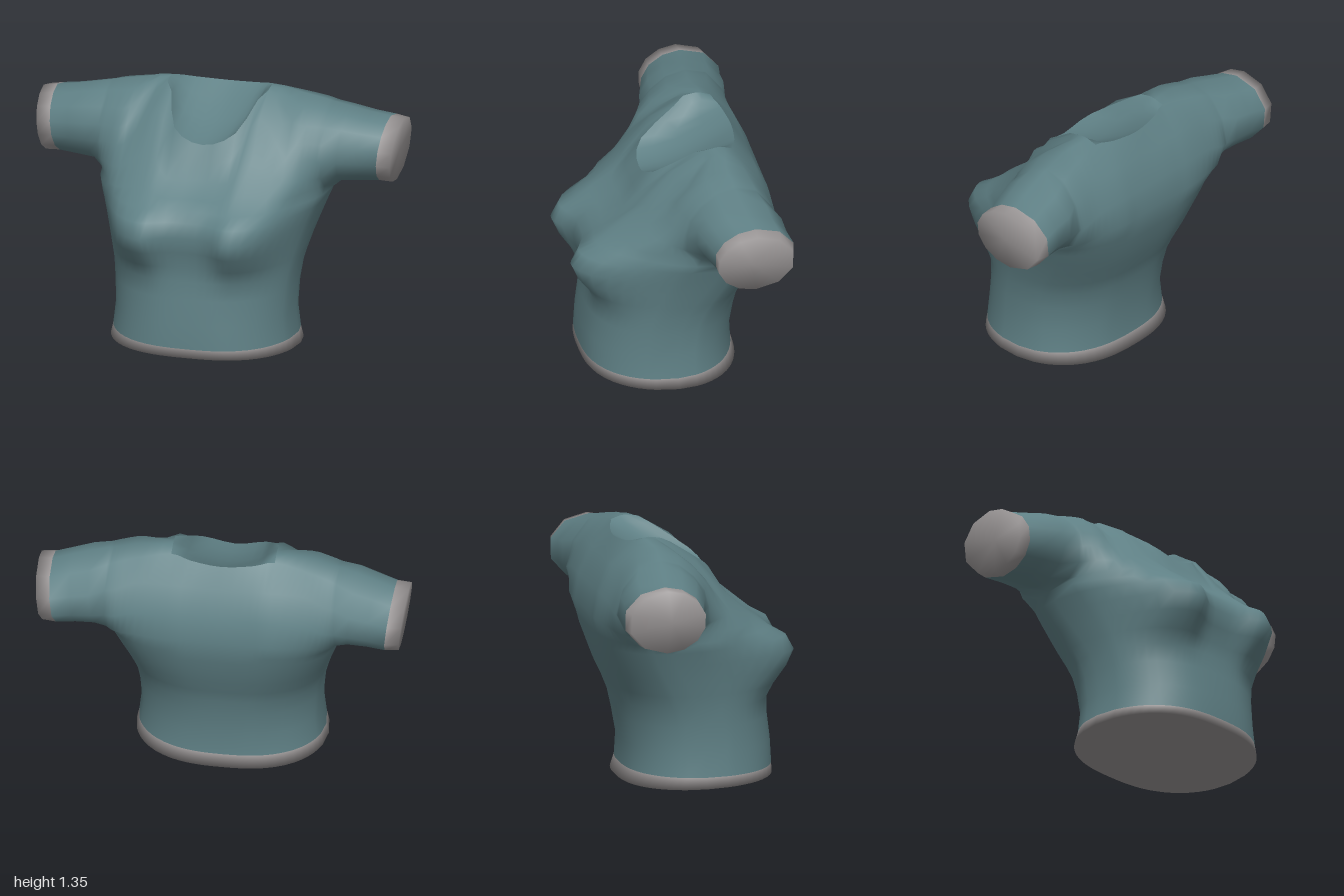
import * as THREE from 'three';

const teal = new THREE.MeshStandardMaterial({ color: 0x5f8085 });
teal.name = 'teal cloth';
const grey = new THREE.MeshStandardMaterial({ color: 0x9a9696 });
grey.name = 'grey trim';

// Torso rings from hem to armpit: y, half width, seam z, front z, back z, bust swell, front and back squareness
const RINGS = [
  [0.01, 0.518, 0.02, 0.46, -0.37, 0, 2.7, 2.6],
  [0.07, 0.505, 0.02, 0.46, -0.35, 0, 2.6, 2.5],
  [0.2, 0.49, 0.02, 0.455, -0.345, 0, 2.5, 2.4],
  [0.34, 0.498, 0.01, 0.437, -0.37, 0, 2.5, 2.4],
  [0.44, 0.51, -0.02, 0.43, -0.39, 0.01, 2.5, 2.5],
  [0.52, 0.53, -0.06, 0.43, -0.42, 0.06, 2.4, 2.6],
  [0.61, 0.555, -0.11, 0.45, -0.46, 0.115, 2.3, 2.8],
  [0.7, 0.585, -0.16, 0.47, -0.49, 0.14, 2.2, 3],
  [0.78, 0.615, -0.19, 0.45, -0.515, 0.11, 2.2, 3.3],
  [0.83, 0.635, -0.21, 0.4, -0.525, 0.06, 2.2, 3.5],
];

// Yoke sections at x: [z, y] points running up the front, over the top and down the back
const YOKE = [
  [0, [[.34, .88], [.23, .95], [.17, 1.05], [.125, 1.115], [.02, 1.13], [-.12, 1.17], [-.28, 1.25], [-.38, 1.31], [-.45, 1.2], [-.52, 1.06], [-.54, .92]]],
  [.17, [[.36, .88], [.24, .95], [.16, 1.06], [.075, 1.18], [0, 1.185], [-.12, 1.21], [-.25, 1.27], [-.36, 1.32], [-.45, 1.21], [-.52, 1.06], [-.54, .92]]],
  [.28, [[.3, .91], [.15, 1.05], [-.01, 1.245], [-.18, 1.345], [-.22, 1.352], [-.25, 1.355], [-.28, 1.35], [-.33, 1.333], [-.45, 1.21], [-.52, 1.06], [-.545, .92]]],
  [.45, [[.25, .88], [.16, .96], [.08, 1.06], [.02, 1.15], [-.05, 1.23], [-.14, 1.3], [-.25, 1.33], [-.35, 1.305], [-.44, 1.2], [-.51, 1.05], [-.52, .92]]],
  [.56, [[.06, .88], [.07, .95], [.03, 1.05], [0, 1.13], [-.06, 1.21], [-.15, 1.28], [-.26, 1.307], [-.37, 1.28], [-.46, 1.16], [-.51, 1.02], [-.48, .9]]],
  [.62, [[-.08, .87], [0, .94], [0, 1.03], [-.02, 1.12], [-.08, 1.2], [-.16, 1.265], [-.26, 1.293], [-.38, 1.26], [-.465, 1.15], [-.495, 1.01], [-.42, .89]]],
];

// Sleeve rings: x, centre y, radius y, centre z, radius z
const SLEEVE = [
  [0.7, 1.065, 0.205, -0.27, 0.24],
  [0.8, 1.055, 0.19, -0.285, 0.227],
  [0.905, 1.045, 0.177, -0.308, 0.22],
  [0.98, 1.04, 0.173, -0.3, 0.21],
];

// Point on a torso ring; side is +1 for front, -1 for back
function ringPoint(ring, u, side) {
  const [y, w, zc, zf, zb, bust, frontSquare, backSquare] = ring;
  const x = u * w;
  const arc = (p) => Math.sqrt(Math.max(0, 1 - Math.abs(u) ** p));
  let z = zc + (zb - zc) * arc(backSquare);
  if (side > 0) {
    z = zc + (zf - zc) * arc(frontSquare);
    if (Math.abs(u) < 0.999) z += bust * Math.exp(-((Math.abs(Math.abs(x) - 0.31) / 0.16) ** 3));
  }
  return new THREE.Vector3(x, y < 0.05 ? 0.009 + 0.024 * z : y, z);
}

// Smooth patch that welds coincident corners
function patch() {
  const pos = [], index = [], seen = new Map();
  const id = (p) => {
    const key = p.toArray().map((v) => Math.round(v * 1e4)).join();
    if (!seen.has(key)) {
      seen.set(key, pos.length / 3);
      pos.push(p.x, p.y, p.z);
    }
    return seen.get(key);
  };
  const tri = (a, b, c) => {
    const t = [id(a), id(b), id(c)];
    if (new Set(t).size === 3) index.push(...t);
  };
  return {
    quad(a, b, c, d) { tri(a, b, c); tri(a, c, d); },
    // Flat end across a loop of points
    close(loop, flip) {
      const mid = new THREE.Vector3();
      loop.forEach((v) => mid.addScaledVector(v, 1 / loop.length));
      loop.forEach((v, i) => {
        const n = loop[(i + 1) % loop.length];
        if (flip) tri(mid, n, v);
        else tri(mid, v, n);
      });
    },
    mesh(name, material) {
      const g = new THREE.BufferGeometry();
      g.setAttribute('position', new THREE.Float32BufferAttribute(pos, 3));
      g.setIndex(index);
      g.computeVertexNormals();
      const m = new THREE.Mesh(g, material);
      m.name = name;
      return m;
    },
  };
}

// Columns across the torso, each running hem front, over the shoulder, hem back
function torsoColumns(sub) {
  const keys = [...YOKE.slice(1).reverse().map(([x, s]) => [-x, s]), ...YOKE];
  const curves = YOKE[0][1].map((_, k) => new THREE.CatmullRomCurve3(
    keys.map(([x, s]) => new THREE.Vector3(x, s[k][1], s[k][0])), false, 'catmullrom', 0.5));
  const count = (keys.length - 1) * sub;
  const cols = [];
  for (let i = 0; i <= count; i++) {
    const over = curves.map((c) => c.getPoint(i / count));
    const u = THREE.MathUtils.clamp(over[0].x / 0.62, -1, 1);
    cols.push([
      ...RINGS.map((r) => ringPoint(r, u, 1)),
      ...over,
      ...[...RINGS].reverse().map((r) => ringPoint(r, u, -1)),
    ]);
  }
  return cols;
}

// Sleeve ring starting underneath, going round by the front
function sleeveLoop([x, cy, ry, cz, rz], side) {
  const loop = [];
  for (let k = 0; k <= 12; k++) {
    const a = k <= 7 ? (Math.PI * k) / 7 : Math.PI * (1 + (k - 7) / 5);
    loop.push(new THREE.Vector3(side * (x - 0.02 * Math.cos(a)), cy - ry * Math.cos(a), cz + rz * Math.sin(a)));
  }
  return loop;
}

export function createModel() {
  const group = new THREE.Group();
  const shirt = patch(), hem = patch(), neck = patch();
  const sub = 3;
  const cols = torsoColumns(sub);
  const rows = cols[0].length;
  const armpit = RINGS.length - 1;
  const middle = (cols.length - 1) / 2;

  // Torso, hem band and neck opening
  for (let c = 0; c < cols.length - 1; c++) {
    const inNeck = Math.abs(c + 0.5 - middle) < 2 * sub;
    for (let r = 0; r < rows - 1; r++) {
      const k = r - armpit;
      const target = r === 0 || r === rows - 2 ? hem : inNeck && k >= 4 && k < 8 ? neck : shirt;
      target.quad(cols[c][r], cols[c + 1][r], cols[c + 1][r + 1], cols[c][r + 1]);
    }
  }

  // Underside, shaded smoothly into the hem
  hem.close([...cols.map((c) => c[0]), ...cols.slice(1, -1).reverse().map((c) => c[rows - 1])], true);

  // Sleeves grow from the armholes and end in closed cuffs
  for (const side of [1, -1]) {
    const armhole = cols[side > 0 ? cols.length - 1 : 0].slice(armpit, armpit + 13);
    const loops = [armhole, ...SLEEVE.map((s) => sleeveLoop(s, side))];
    const cuff = patch();
    for (let i = 0; i < loops.length - 1; i++) {
      const [a, b] = side > 0 ? [loops[i], loops[i + 1]] : [loops[i + 1], loops[i]];
      const target = i === loops.length - 2 ? cuff : shirt;
      for (let k = 0; k < 12; k++) target.quad(a[k], b[k], b[k + 1], a[k + 1]);
    }
    cuff.close(loops[loops.length - 1].slice(0, 12), side > 0);
    group.add(cuff.mesh(side > 0 ? 'leftCuff' : 'rightCuff', grey));
  }

  group.add(shirt.mesh('shirtBody', teal), hem.mesh('hem', grey), neck.mesh('neckOpening', teal));
  return group;
}
